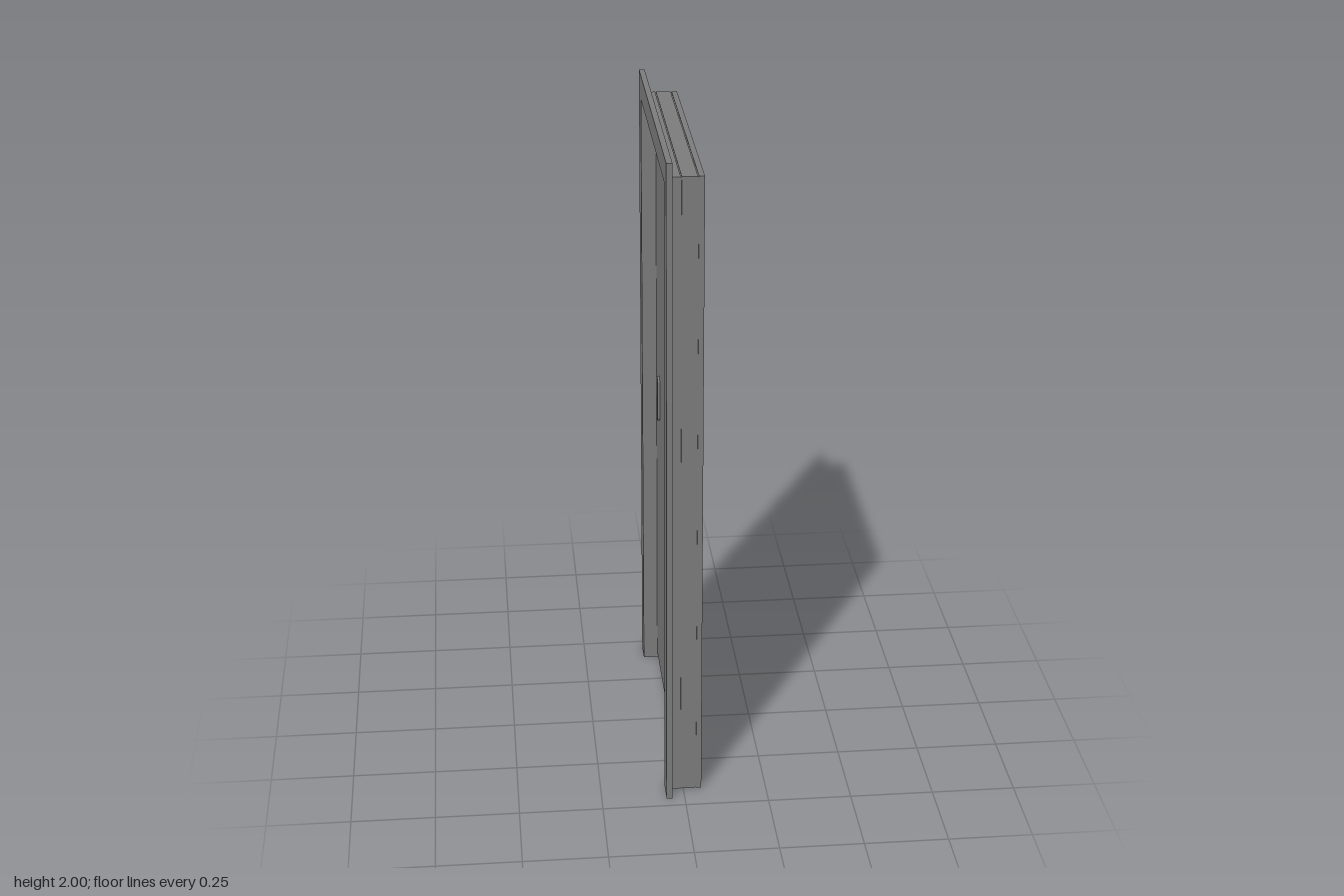
import * as THREE from 'three';

const grey = new THREE.MeshStandardMaterial({ color: 0x7c7c7c, flatShading: true });

export function createModel() {
  const model = new THREE.Group();

  function add(name, geometry, x = 0, y = 0, z = 0) {
    const mesh = new THREE.Mesh(geometry, grey);
    mesh.name = name;
    mesh.position.set(x, y, z);
    model.add(mesh);
  }

  // Extrude a shape drawn in the door plane along x, from x0 to x1
  function extrudeX(shape, x0, x1) {
    const g = new THREE.ExtrudeGeometry(shape, { depth: x1 - x0, bevelEnabled: false, curveSegments: 8 });
    g.rotateY(Math.PI / 2);
    g.translate(x0, 0, 0);
    return g;
  }

  // Frame section open at the bottom: two uprights and a head
  function surround(name, outerW, outerH, innerW, innerH, x0, x1, base = 0) {
    const shape = new THREE.Shape([
      [-outerW, base], [-innerW, base], [-innerW, innerH], [innerW, innerH],
      [innerW, base], [outerW, base], [outerW, outerH], [-outerW, outerH],
    ].map(([a, b]) => new THREE.Vector2(a, b)));
    add(name, extrudeX(shape, x0, x1));
  }

  // Flat casing around the opening
  surround('casing', 0.462, 2.0, 0.393, 1.928, -0.055, -0.038);

  // Jamb lining, split by two shallow grooves; the front section ends in a raised lip
  surround('jambCore', 0.408, 1.943, 0.393, 1.928, -0.038, 0.042);
  [[-0.038, -0.011], [-0.008, 0.036], [0.039, 0.055]].forEach(([x0, x1], i) =>
    surround(`jambSection${i + 1}`, 0.41, 1.945, 0.4, 1.935, x0, x1));

  // Door stop and its seal
  surround('doorStop', 0.4, 1.935, 0.367, 1.902, 0.006, 0.042);
  surround('doorSeal', 0.38, 1.915, 0.36, 1.897, 0.004, 0.016, 0.02);

  // Door leaf, closed against the stop
  add('doorLeaf', new THREE.BoxGeometry(0.016, 1.906, 0.784), -0.002, 0.973, 0);

  // Rounded pull plate with a finger slot
  function capsule(path, r, half) {
    path.absarc(0, half, r, 0, Math.PI, false);
    path.absarc(0, -half, r, Math.PI, Math.PI * 2, false);
    path.closePath();
    return path;
  }
  const plate = capsule(new THREE.Shape(), 0.016, 0.058);
  plate.holes.push(capsule(new THREE.Path(), 0.01, 0.056));
  add('handlePlate', extrudeX(plate, -0.017, -0.009), 0, 0.99, -0.288);

  // Hinges
  for (const y of [0.205, 1.67]) {
    add('hingeKnuckle', new THREE.CylinderGeometry(0.005, 0.005, 0.05, 12), -0.012, y, 0.388);
  }

  return model;
}
